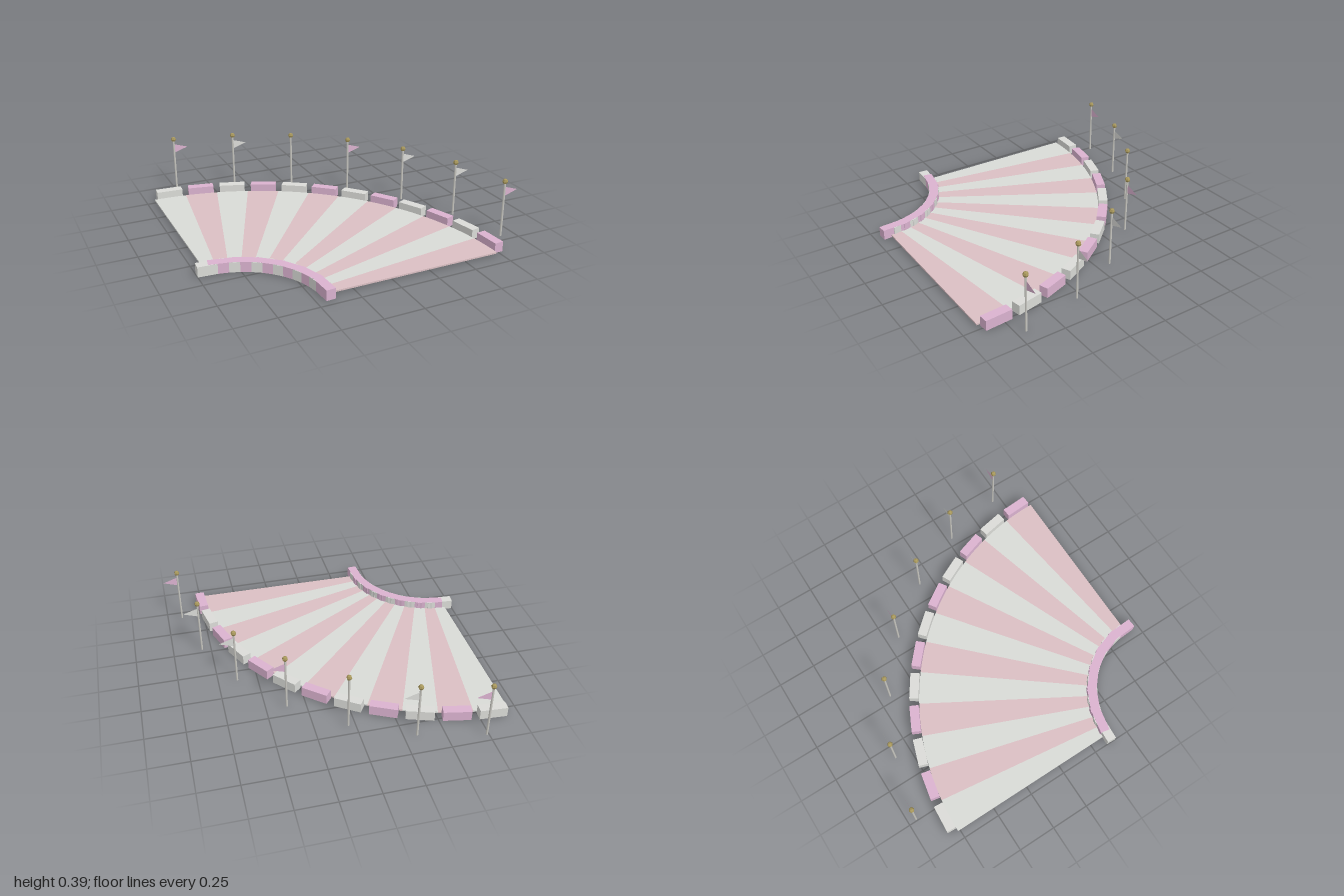
import * as THREE from 'three';

const mat = (name, color, side = THREE.FrontSide) => {
  const m = new THREE.MeshStandardMaterial({ color, side });
  m.name = name;
  return m;
};

export function createModel() {
  const grey = mat('pale grey', 0xdadbd7, THREE.DoubleSide);
  const pink = mat('kerb pink', 0xdab2cf, THREE.DoubleSide);
  const deckGrey = mat('deck grey', 0xd8dad6);
  const deckPink = mat('deck pink', 0xdabfc3);
  const poleGrey = mat('pole grey', 0xcbcac4);
  const gold = mat('dull gold', 0xa8985c);

  const model = new THREE.Group();
  model.name = 'curvedTrack';
  // Everything is laid out around the centre of the bend
  const bend = new THREE.Group();
  bend.name = 'bend';
  bend.position.set(-0.945, 0, 0.9);
  model.add(bend);

  const add = (name, geo, material, parent = bend) => {
    const mesh = new THREE.Mesh(geo, material);
    mesh.name = name;
    parent.add(mesh);
    return mesh;
  };
  // Place an object at a radius and angle, turned to face outwards
  const polar = (obj, r, a, y = 0) => {
    obj.position.set(r * Math.cos(a), y, -r * Math.sin(a));
    return obj;
  };

  const SECTORS = 12, STEP = Math.PI / 2 / SECTORS;
  const INNER = 0.555, OUTER = 1.665, KERB_W = 0.06, KERB_H = 0.065;

  for (let i = 0; i < SECTORS; i++) {
    const a = i * STEP, mid = a + STEP / 2, isPink = i % 2 === 0;

    // Deck wedge
    const s = new THREE.Shape();
    s.absarc(0, 0, OUTER, a, a + STEP, false);
    s.absarc(0, 0, INNER, a + STEP, a, true);
    s.closePath();
    const wedge = new THREE.ExtrudeGeometry(s, { depth: 0.01, bevelEnabled: false, curveSegments: 4 });
    wedge.rotateX(-Math.PI / 2);
    add('deckWedge', wedge, isPink ? deckPink : deckGrey).position.y = 0.008;

    // Kerb blocks; the inner ones overlap, pink just proud of grey
    for (const [name, r] of [['outerKerb', OUTER + KERB_W / 2], ['innerKerb', INNER - KERB_W / 2]]) {
      const h = KERB_H + (isPink ? 0.0006 : 0);
      const block = add(name, new THREE.BoxGeometry(KERB_W, h, 0.175), isPink ? pink : grey);
      polar(block, r, mid, h / 2).rotation.y = mid;
    }
  }

  // Flag poles around the outside
  const poleGeo = new THREE.CylinderGeometry(0.007, 0.007, 0.37, 6);
  const capGeo = new THREE.SphereGeometry(0.018, 6, 4).toNonIndexed();
  capGeo.rotateY(Math.PI / 2);
  capGeo.computeVertexNormals();
  const flagShape = new THREE.Shape([[0, 0.272], [0.097, 0.304], [0, 0.336]].map(([x, y]) => new THREE.Vector2(x, y)));
  const flagGeo = new THREE.ShapeGeometry(flagShape);
  const flags = [pink, grey, grey, pink, null, grey, pink];
  flags.forEach((flagMat, i) => {
    const g = new THREE.Group();
    g.name = 'flagPole';
    polar(g, 1.858, ((i + 0.5) / flags.length) * Math.PI / 2);
    bend.add(g);
    add('pole', poleGeo, poleGrey, g).position.y = 0.185;
    add('poleCap', capGeo, gold, g).position.y = 0.372;
    if (flagMat) add('pennant', flagGeo, flagMat, g);
  });

  return model;
}
